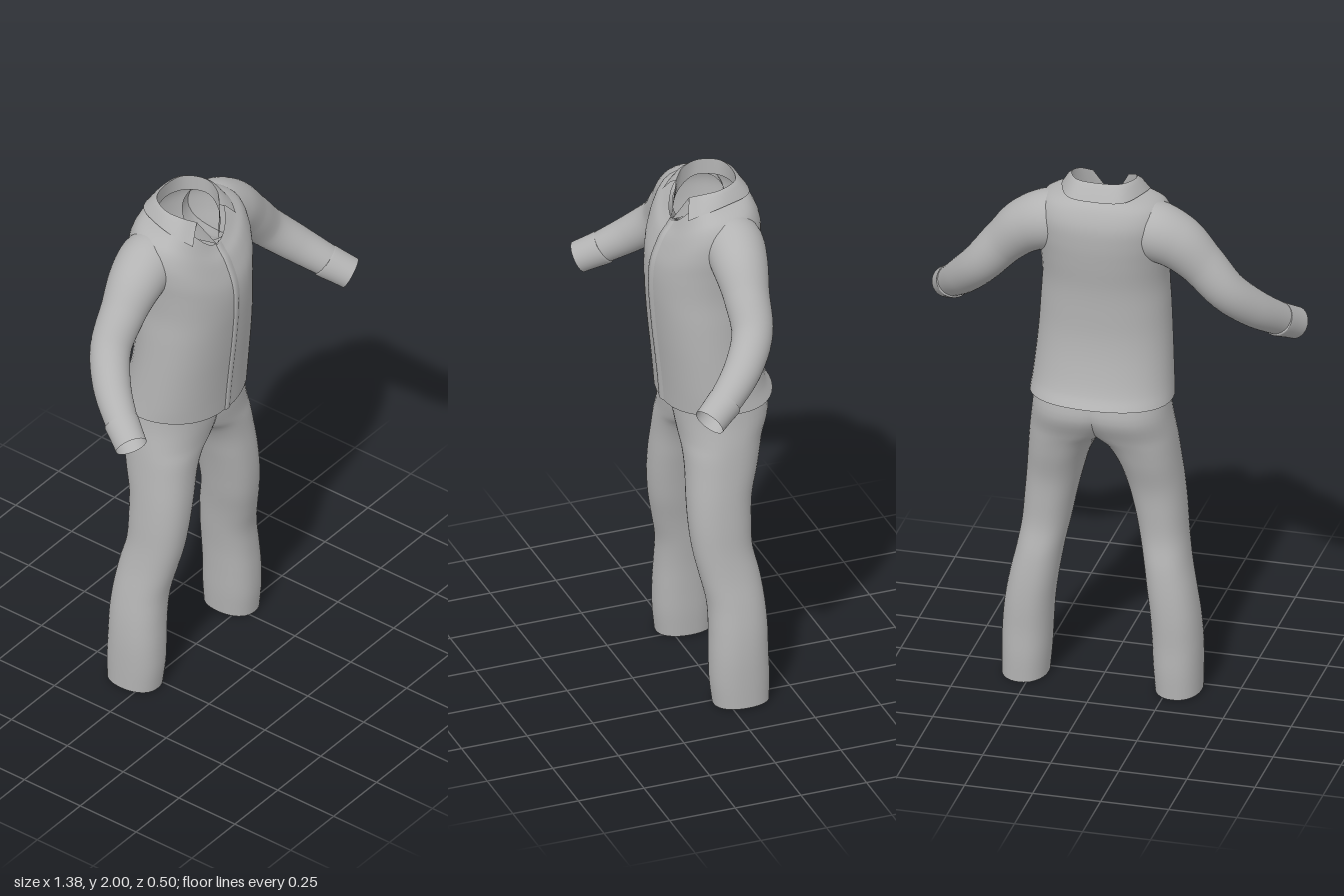
import * as THREE from 'three';

const V = (x, y, z) => new THREE.Vector3(x, y, z);
const SIDES = 40;

// Skin over rows of points; closed rows wrap around
function skin(rows, closed) {
  const n = rows[0].length, pos = [], idx = [];
  for (const row of rows) for (const p of row) pos.push(p.x, p.y, p.z);
  for (let r = 0; r < rows.length - 1; r++) {
    for (let i = 0; i < (closed ? n : n - 1); i++) {
      const j = (i + 1) % n, a = r * n + i, b = r * n + j;
      idx.push(a, b, b + n, a, b + n, a + n);
    }
  }
  const g = new THREE.BufferGeometry();
  g.setAttribute('position', new THREE.Float32BufferAttribute(pos, 3));
  g.setIndex(idx);
  g.computeVertexNormals();
  return g;
}

// Smooth closed loft through a few key rings
function loft(rings, steps = 5) {
  const count = (rings.length - 1) * steps;
  const curves = rings[0].map((_, i) => new THREE.CatmullRomCurve3(rings.map(r => r[i])));
  const rows = [];
  for (let k = 0; k <= count; k++) rows.push(curves.map(c => c.getPoint(k / count)));
  return skin(rows, true);
}

// Rounded outline with its own heights at side, front and back
function ring(yS, yF, yB, x0, x1, zF, zB, e) {
  const pts = [];
  for (let i = 0; i < SIDES; i++) {
    const a = (i / SIDES) * Math.PI * 2, c = Math.cos(a), s = Math.sin(a);
    const f = v => Math.sign(v) * Math.pow(Math.abs(v), 2 / e);
    const w = Math.pow(Math.abs(s), 3);
    pts.push(V((x0 + x1) / 2 + f(c) * (x1 - x0) / 2,
      yS + ((s > 0 ? yF : yB) - yS) * w,
      (zF + zB) / 2 + f(s) * (zF - zB) / 2));
  }
  return pts;
}

// Tube with changing radius; keys are [x, y, z, radius]
function limb(keys, steps) {
  const path = new THREE.CatmullRomCurve3(keys.map(k => V(k[0], k[1], k[2])));
  const size = new THREE.CatmullRomCurve3(keys.map(k => V(k[3], 0, 0)));
  const rows = [];
  for (let k = 0; k <= steps; k++) {
    const t = k / steps, p = path.getPoint(t), r = size.getPoint(t).x;
    const T = path.getTangent(t);
    const B = V(0, 1, 0).cross(T).normalize(), N = T.clone().cross(B);
    const row = [];
    for (let i = 0; i < SIDES; i++) {
      const a = (i / SIDES) * Math.PI * 2;
      row.push(p.clone().addScaledVector(B, Math.cos(a) * r).addScaledVector(N, Math.sin(a) * r));
    }
    rows.push(row);
  }
  return skin(rows, true);
}

export function createModel() {
  const cloth = new THREE.MeshStandardMaterial({ color: 0xb3b3b3, side: THREE.DoubleSide });
  cloth.name = 'grey cloth';
  const model = new THREE.Group();
  model.name = 'shirtAndTrousers';
  const add = (name, geometry, parent = model) => {
    const m = new THREE.Mesh(geometry, cloth);
    m.name = name;
    parent.add(m);
    return m;
  };

  // Shirt body: side, front and back height, half width, front z, back z
  const body = [
    [1.15, 1.122, 1.158, 0.26, 0.14, -0.255],
    [1.2, 1.2, 1.2, 0.255, 0.146, -0.228],
    [1.3, 1.3, 1.3, 0.247, 0.156, -0.2],
    [1.4, 1.4, 1.4, 0.24, 0.167, -0.186],
    [1.5, 1.5, 1.5, 0.234, 0.176, -0.185],
    [1.6, 1.58, 1.6, 0.228, 0.181, -0.19],
    [1.7, 1.65, 1.7, 0.234, 0.18, -0.204],
    [1.78, 1.7, 1.78, 0.243, 0.172, -0.212],
    [1.85, 1.75, 1.85, 0.242, 0.154, -0.21],
    [1.9, 1.79, 1.9, 0.22, 0.135, -0.192],
    [1.925, 1.82, 1.93, 0.182, 0.113, -0.17],
    [1.942, 1.842, 1.95, 0.12, 0.098, -0.135],
  ];
  add('shirtBody', loft(body.map(([yS, yF, yB, w, zF, zB]) => ring(yS, yF, yB, -w, w, zF, zB, 2.2))));

  // Front placket: overlapping edge that sinks back into the shirt
  const front = new THREE.CatmullRomCurve3(body.map(b => V(0, b[1], b[4])));
  const edge = [[-0.008, -0.006], [-0.008, 0.005], [0.012, 0.005], [0.05, -0.012]];
  add('placket', skin(front.getPoints(50).map(p => edge.map(([x, z]) => V(x, p.y, p.z + z))), false));

  // Collar: stand and turned-down leaf between three rails (half, then mirrored)
  const rail = half => {
    const pts = half.map(p => V(...p));
    const left = pts.slice(1).reverse().map(p => V(-p.x, p.y, p.z));
    return new THREE.CatmullRomCurve3([...left, ...pts]).getPoints(48);
  };
  const neck = rail([[0, 1.94, -0.133], [0.085, 1.935, -0.105], [0.117, 1.93, -0.03], [0.085, 1.895, 0.045], [0.004, 1.842, 0.1]]);
  const fold = rail([[0, 2.0, -0.128], [0.08, 1.998, -0.11], [0.117, 1.992, -0.04], [0.102, 1.978, 0.02], [0.065, 1.955, 0.058]]);
  const fall = rail([[0, 1.945, -0.174], [0.1, 1.945, -0.155], [0.153, 1.944, -0.045], [0.152, 1.925, 0.035], [0.125, 1.895, 0.086]]);
  add('collarStand', skin([neck, fold], false));
  const swell = fold.map((p, i) => p.clone().lerp(fall[i], 0.4).add(V(0, 0.008, 0)));
  add('collarLeaf', skin([fold, swell, fall], false));

  // Sleeves and cuffs
  const sleeve = [
    [0.13, 1.82, -0.055, 0.098], [0.2, 1.805, -0.06, 0.108], [0.28, 1.765, -0.053, 0.1],
    [0.36, 1.69, -0.045, 0.083], [0.45, 1.585, -0.032, 0.074], [0.53, 1.495, 0.035, 0.068],
    [0.59, 1.425, 0.12, 0.06], [0.615, 1.395, 0.162, 0.056],
  ];
  const cuff = [[0.593, 1.42, 0.123, 0.056], [0.595, 1.417, 0.127, 0.063], [0.617, 1.393, 0.167, 0.06], [0.638, 1.37, 0.205, 0.058]];
  // Trouser leg: height, inner x, outer x, front z, back z
  const leg = [
    [0.005, 0.198, 0.365, 0.05, -0.155], [0.1, 0.19, 0.366, 0.06, -0.158],
    [0.2, 0.185, 0.364, 0.061, -0.155], [0.3, 0.178, 0.355, 0.058, -0.155],
    [0.4, 0.165, 0.338, 0.06, -0.15], [0.5, 0.15, 0.317, 0.08, -0.138],
    [0.6, 0.13, 0.302, 0.1, -0.118], [0.7, 0.11, 0.294, 0.11, -0.118],
    [0.8, 0.085, 0.285, 0.111, -0.126], [0.9, 0.052, 0.275, 0.106, -0.153],
    [0.97, 0.008, 0.268, 0.105, -0.172], [1.02, -0.06, 0.262, 0.105, -0.19],
    [1.1, -0.11, 0.25, 0.11, -0.222], [1.2, -0.11, 0.24, 0.11, -0.205],
  ];
  const sleeveGeo = limb(sleeve, 42), cuffGeo = limb(cuff, 12);
  const legGeo = loft(leg.map(([y, xi, xo, zF, zB]) =>
    ring(y, Math.max(0, y - 0.005), Math.max(0, y - 0.005), xi, xo, zF, zB, 2.25)), 4);
  for (const side of [1, -1]) {
    const half = new THREE.Group();
    half.name = side > 0 ? 'leftLimbs' : 'rightLimbs';
    half.scale.x = side;
    add('sleeve', sleeveGeo, half);
    add('cuff', cuffGeo, half);
    add('trouserLeg', legGeo, half);
    model.add(half);
  }
  model.position.x = -0.006;
  return model;
}
